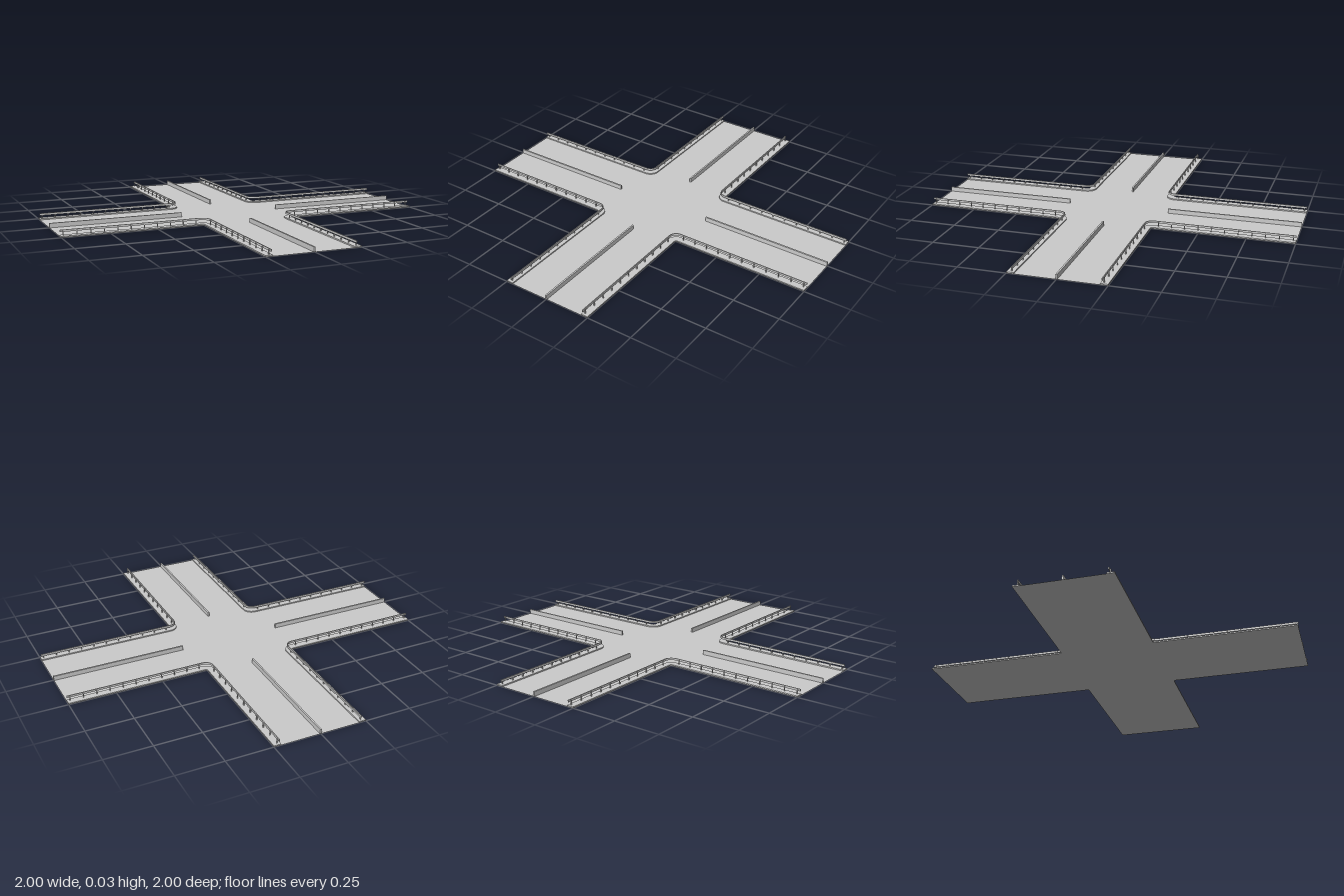
import * as THREE from 'three';

const grey = new THREE.MeshStandardMaterial({ color: 0xcccccc, side: THREE.DoubleSide, flatShading: true });
const CENTRE = 0.262; // centre of the rounded corners, shared by kerb and rail

// Points along one quadrant, parallel to the road edge, d from the road axis
function edgePath(d, end = 1) {
  const r = CENTRE - d, pts = [new THREE.Vector2(end, d)];
  for (let i = 0; i <= 6; i++) {
    const a = -Math.PI / 2 - (i / 6) * Math.PI / 2;
    pts.push(new THREE.Vector2(CENTRE + r * Math.cos(a), CENTRE + r * Math.sin(a)));
  }
  pts.push(new THREE.Vector2(d, end));
  return pts;
}

// Solid strip following the corner, between two distances and two heights
function strip(name, d0, d1, y0, y1) {
  const shape = new THREE.Shape([...edgePath(d0), ...edgePath(d1).reverse()]);
  const geo = new THREE.ExtrudeGeometry(shape, { depth: y1 - y0, bevelEnabled: false });
  geo.rotateX(Math.PI / 2).translate(0, y1, 0);
  const mesh = new THREE.Mesh(geo, grey);
  mesh.name = name;
  return mesh;
}

function box(name, w, h, d, x, y, z) {
  const mesh = new THREE.Mesh(new THREE.BoxGeometry(w, h, d), grey);
  mesh.name = name;
  mesh.position.set(x, y, z);
  return mesh;
}

export function createModel() {
  const model = new THREE.Group();
  model.name = 'crossroads';

  // Flat road surface in the shape of a cross
  const outline = [];
  for (let q = 0; q < 4; q++) {
    for (const p of edgePath(0.25)) {
      outline.push(p.clone().rotateAround(new THREE.Vector2(), q * Math.PI / 2));
    }
  }
  const road = new THREE.Mesh(new THREE.ShapeGeometry(new THREE.Shape(outline)).rotateX(-Math.PI / 2), grey);
  road.name = 'roadSurface';
  model.add(road);

  for (let q = 0; q < 4; q++) {
    const quarter = new THREE.Group();
    quarter.name = 'quarter' + (q + 1);
    quarter.rotation.y = q * Math.PI / 2;

    // Low kerb and guard rail around the corner
    quarter.add(strip('kerb', 0.212, 0.25, 0.0005, 0.007));
    quarter.add(strip('guardRail', 0.219, 0.224, 0.023, 0.034));

    // Rail posts on the outer side
    for (let i = 0; i < 11; i++) {
      const s = 0.285 + i * 0.07;
      quarter.add(box('railPost', 0.004, 0.025, 0.005, s, 0.0185, 0.2265));
      quarter.add(box('railPost', 0.005, 0.025, 0.004, 0.2265, 0.0185, s));
    }

    // Median barrier along the middle of one arm
    quarter.add(box('medianBarrier', 0.72, 0.024, 0.009, 0.64, 0.0125, 0));
    model.add(quarter);
  }
  return model;
}
